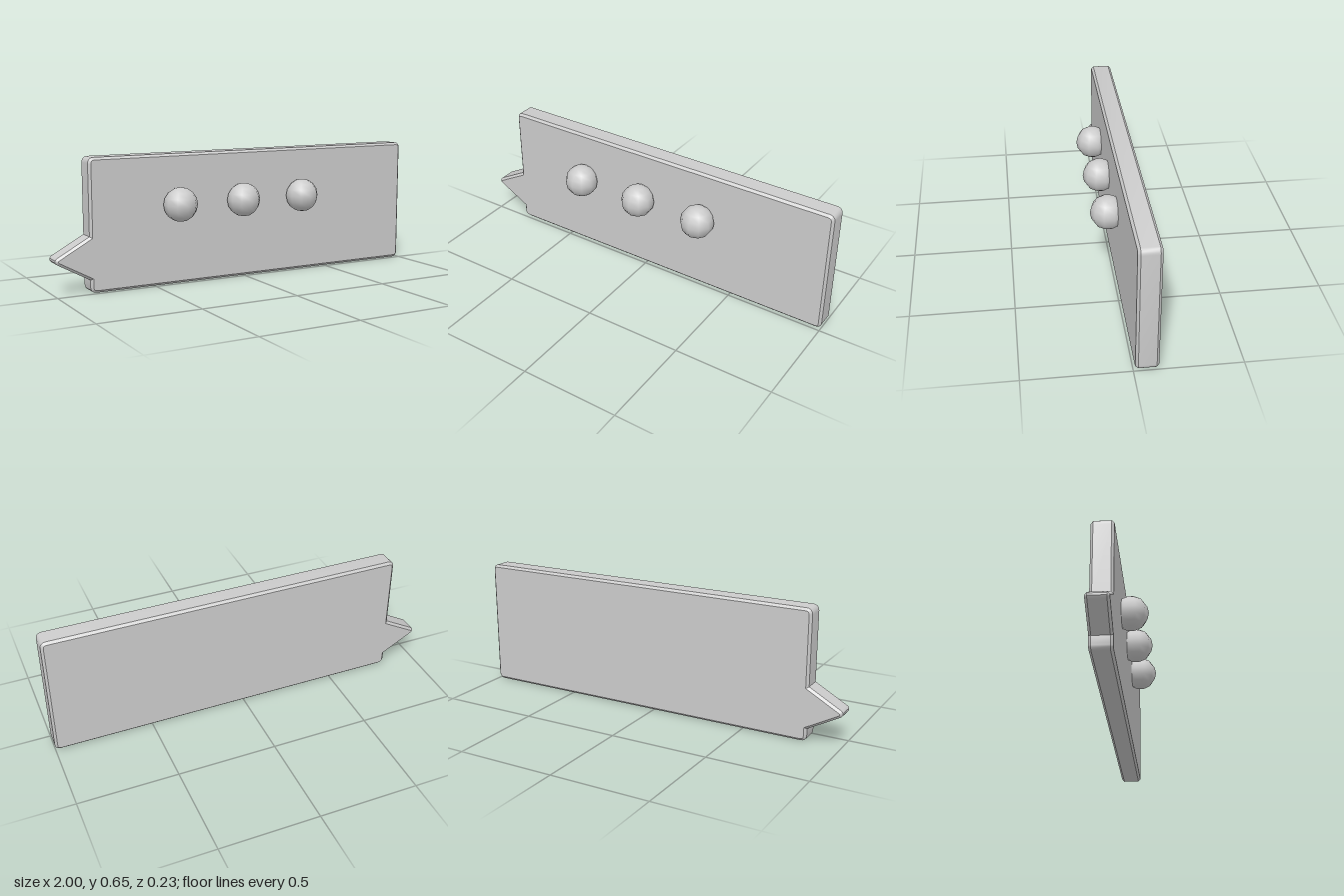
import * as THREE from 'three';
import { toCreasedNormals } from 'three/addons/utils/BufferGeometryUtils.js';

const material = new THREE.MeshStandardMaterial({ color: 0xcccccc });

// Closed outline with each corner [x, y, cut] softened by a curve
function roundedOutline(corners) {
  const points = corners.map(([x, y]) => new THREE.Vector2(x, y));
  const shape = new THREE.Shape();
  const n = points.length;
  const toward = (from, to, d) => to.clone().sub(from).setLength(d).add(from);
  points.forEach((p, i) => {
    const cut = corners[i][2];
    const start = toward(p, points[(i + n - 1) % n], cut);
    const end = toward(p, points[(i + 1) % n], cut);
    if (i === 0) shape.moveTo(start.x, start.y);
    else shape.lineTo(start.x, start.y);
    if (cut > 0) shape.quadraticCurveTo(p.x, p.y, end.x, end.y);
  });
  shape.closePath();
  return shape;
}

export function createModel() {
  const group = new THREE.Group();
  group.name = 'speechBubble';

  // Bevelled panel with a pointed tail; the outline is inset by the bevel
  const bevel = 0.012, back = -0.117, front = -0.01;
  const left = -0.818, right = 0.988, bottom = bevel, top = 0.636;
  const outline = roundedOutline([
    [left, bottom, 0.018],
    [right, bottom, 0.018],
    [right, top, 0.018],
    [left, top, 0.018],
    [left, 0.266, 0],
    [-0.995, 0.1685, 0.015], // tail tip
    [left, 0.071, 0],
  ]);
  const panelGeometry = new THREE.ExtrudeGeometry(outline, {
    depth: front - back - 2 * bevel,
    bevelSize: bevel,
    bevelThickness: bevel,
    bevelSegments: 1,
    curveSegments: 5,
  });
  panelGeometry.translate(0, 0, back + bevel);
  const panel = new THREE.Mesh(toCreasedNormals(panelGeometry, 0.6), material);
  panel.name = 'bubblePanel';
  group.add(panel);

  // Three dots half sunk into the front face
  const dotGeometry = new THREE.SphereGeometry(0.085, 10, 8).rotateY(Math.PI / 2);
  [-0.378, -0.026, 0.323].forEach((x, i) => {
    const dot = new THREE.Mesh(dotGeometry, material);
    dot.name = `dot${i + 1}`;
    dot.position.set(x, 0.402, 0.033);
    group.add(dot);
  });

  return group;
}
